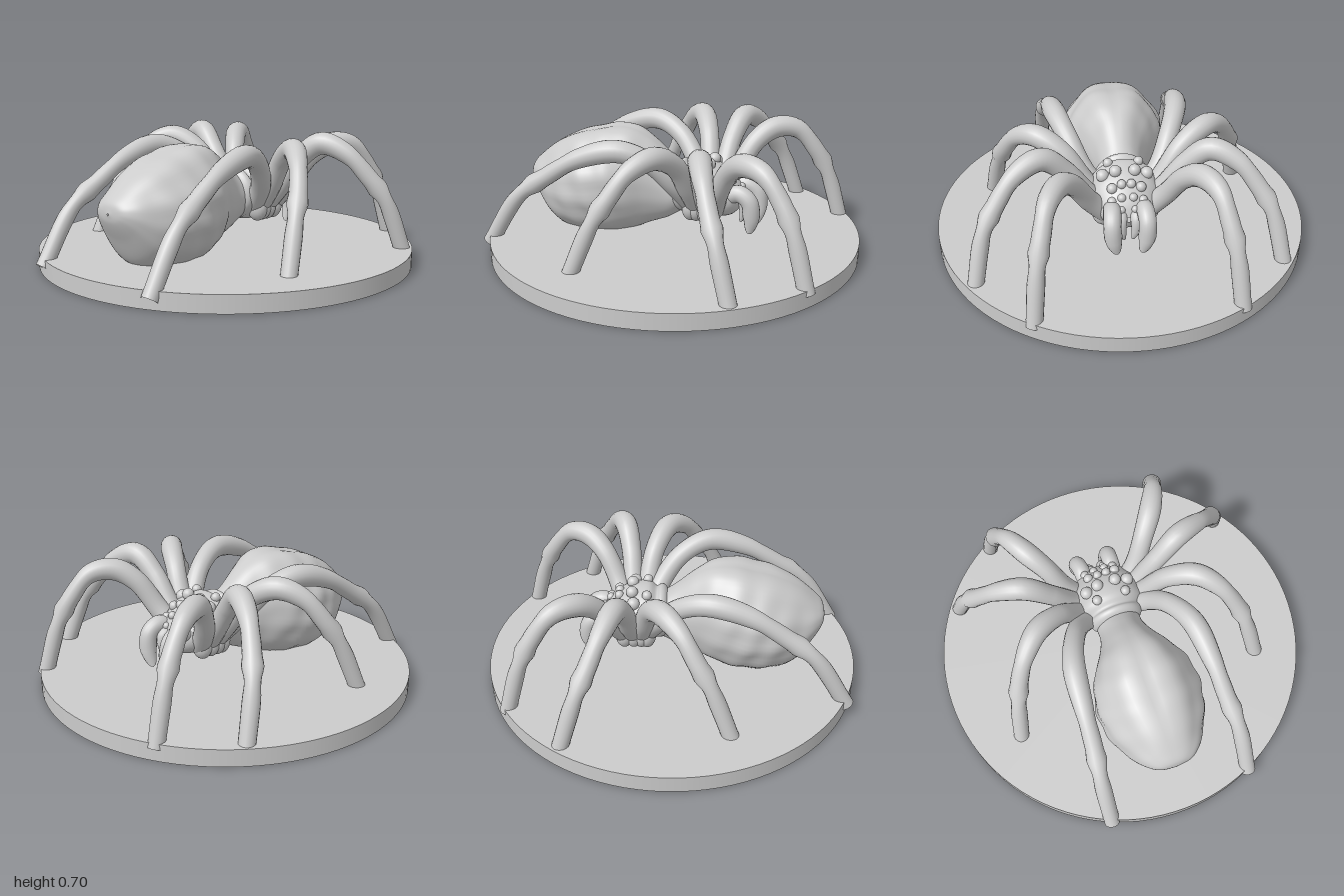
import * as THREE from 'three';

const material = new THREE.MeshStandardMaterial({ color: 0xcccccc, side: THREE.DoubleSide });

function add(group, name, geometry) {
  const mesh = new THREE.Mesh(geometry, material);
  mesh.name = name;
  group.add(mesh);
  return mesh;
}

// Tube along a smooth path; radius(t) gives its thickness from start to end
function taperedTube(points, radius, segments = 60, sides = 18) {
  const curve = new THREE.CatmullRomCurve3(points.map((p) => new THREE.Vector3(...p)));
  const geometry = new THREE.TubeGeometry(curve, segments, 1, sides, false);
  const pos = geometry.attributes.position;
  const v = new THREE.Vector3();
  for (let i = 0; i <= segments; i++) {
    const center = curve.getPointAt(i / segments);
    for (let j = 0; j <= sides; j++) {
      const k = i * (sides + 1) + j;
      v.fromBufferAttribute(pos, k).sub(center).multiplyScalar(radius(i / segments)).add(center);
      pos.setXYZ(k, v.x, v.y, v.z);
    }
  }
  return geometry;
}

// Body along x from stations [x, top, bottom, half width]; relief(x, a) scales each section
function loftBody(stations, relief, rows = 80, sides = 64) {
  const upper = new THREE.CatmullRomCurve3(stations.map((s) => new THREE.Vector3(s[0], s[1], s[3])));
  const lower = new THREE.CatmullRomCurve3(stations.map((s) => new THREE.Vector3(s[0], s[2], s[3])));
  const positions = [];
  const index = [];
  for (let i = 0; i <= rows; i++) {
    const u = upper.getPoint(i / rows);
    const l = lower.getPoint(i / rows);
    const mid = (u.y + l.y) / 2;
    const half = (u.y - l.y) / 2;
    for (let j = 0; j < sides; j++) {
      const a = (j / sides) * Math.PI * 2;
      const r = relief(u.x, a);
      positions.push(u.x, mid + Math.sin(a) * half * r, Math.cos(a) * u.z * r);
      if (i < rows) {
        const p = i * sides + j;
        const q = i * sides + ((j + 1) % sides);
        index.push(p, p + sides, q, q, p + sides, q + sides);
      }
    }
  }
  const geometry = new THREE.BufferGeometry();
  geometry.setAttribute('position', new THREE.Float32BufferAttribute(positions, 3));
  geometry.setIndex(index);
  geometry.computeVertexNormals();
  return geometry;
}

const bump = (x, center, width) => Math.exp(-(((x - center) / width) ** 2));

// Leg paths on the +z side, from hip to foot
const legs = {
  frontLeg: [[0.25, 0.27, 0.1], [0.3, 0.4, 0.2], [0.38, 0.55, 0.28], [0.47, 0.615, 0.35],
    [0.58, 0.6, 0.41], [0.68, 0.48, 0.45], [0.75, 0.34, 0.48], [0.83, 0.06, 0.51]],
  secondLeg: [[0.2, 0.27, 0.1], [0.22, 0.39, 0.2], [0.235, 0.54, 0.31], [0.27, 0.64, 0.43],
    [0.325, 0.59, 0.56], [0.385, 0.47, 0.66], [0.44, 0.35, 0.73], [0.53, 0.06, 0.795]],
  thirdLeg: [[0.16, 0.27, 0.1], [0.14, 0.4, 0.2], [0.1, 0.56, 0.31], [0.03, 0.63, 0.44],
    [-0.06, 0.58, 0.54], [-0.14, 0.46, 0.61], [-0.21, 0.34, 0.65], [-0.32, 0.06, 0.7]],
  hindLeg: [[0.13, 0.28, 0.09], [0.06, 0.42, 0.2], [-0.05, 0.55, 0.27], [-0.2, 0.61, 0.325],
    [-0.4, 0.56, 0.35], [-0.58, 0.45, 0.365], [-0.74, 0.33, 0.385], [-0.92, 0.05, 0.395]],
};

export function createModel() {
  const model = new THREE.Group();
  model.name = 'spiderOnDisc';

  // Round base
  const base = add(model, 'base', new THREE.CylinderGeometry(1, 1, 0.09, 96));
  base.position.y = 0.05;

  // Abdomen with a shallow central groove, side folds and wrinkles
  add(model, 'abdomen', loftBody([
    [-0.82, 0.37, 0.36, 0.005], [-0.805, 0.42, 0.31, 0.09], [-0.76, 0.465, 0.23, 0.15],
    [-0.68, 0.53, 0.1, 0.205], [-0.57, 0.59, 0.05, 0.26], [-0.44, 0.63, 0.04, 0.285],
    [-0.32, 0.655, 0.05, 0.27], [-0.22, 0.645, 0.08, 0.225], [-0.13, 0.6, 0.12, 0.165],
    [-0.03, 0.52, 0.16, 0.125], [0.05, 0.46, 0.21, 0.12], [0.12, 0.43, 0.24, 0.1],
  ], (x, a) => {
    const c = Math.abs(Math.cos(a));
    const s = Math.sin(a);
    const fade = bump(x, -0.42, 0.3);
    const back = s > 0 ? -0.035 * bump(c, 0, 0.12) + 0.035 * bump(c, 0.4, 0.16) - 0.035 * bump(c, 0.72, 0.12) : 0;
    const folds = 0.018 * Math.sin(x * 42 + s * 5) * c;
    return 1 + fade * (back + folds + 0.015 * Math.sin(s * 14 + x * 6) * c);
  }));

  // Thorax and head with a raised collar behind
  add(model, 'thorax', loftBody([
    [0.0, 0.42, 0.25, 0.08], [0.035, 0.49, 0.22, 0.135], [0.06, 0.5, 0.21, 0.15],
    [0.08, 0.485, 0.21, 0.15], [0.12, 0.51, 0.2, 0.175], [0.19, 0.505, 0.2, 0.18],
    [0.26, 0.475, 0.21, 0.17], [0.32, 0.43, 0.22, 0.14], [0.36, 0.385, 0.25, 0.1],
    [0.385, 0.33, 0.3, 0.01],
  ], (x, a) => 1 + 0.02 * Math.sin(x * 60) * Math.abs(Math.cos(a)), 40, 40));

  // Rows of eyes and knobs: [x, y, z, radius]
  const knobs = [
    [0.21, 0.5, 0.05, 0.032], [0.2, 0.47, 0.115, 0.034], [0.13, 0.5, 0.08, 0.026],
    [0.28, 0.465, 0.025, 0.024], [0.285, 0.445, 0.075, 0.027], [0.33, 0.415, 0.03, 0.022],
    [0.33, 0.395, 0.08, 0.024], [0.365, 0.365, 0.035, 0.02],
  ];

  // Radius along a leg, swelling at the knee joints and narrowing to the foot
  const legRadius = (t) => 0.056 - 0.014 * t + 0.009 * bump(t, 0.4, 0.1)
    + 0.008 * bump(t, 0.7, 0.025) - 0.006 * bump(t, 0.76, 0.04) - 0.004 * bump(t, 0.56, 0.04);

  for (const side of [1, -1]) {
    const half = new THREE.Group();
    half.name = side > 0 ? 'rightLimbs' : 'leftLimbs';
    const mirror = ([x, y, z]) => [x, y, z * side];

    for (const [name, path] of Object.entries(legs)) {
      add(half, name, taperedTube(path.map(mirror), legRadius));
      // Hip joint under the thorax
      const hip = add(half, name + 'Hip', new THREE.SphereGeometry(0.062, 20, 14));
      hip.position.set(path[0][0], 0.275, side * 0.115);
      hip.scale.set(0.8, 1.2, 1);
    }

    // Feeler curving down beside the fangs
    add(half, 'feeler', taperedTube(
      [[0.31, 0.34, 0.08], [0.38, 0.365, 0.085], [0.435, 0.33, 0.09], [0.45, 0.24, 0.085], [0.435, 0.14, 0.065]].map(mirror),
      (t) => 0.046 * Math.sqrt(Math.max(0, 1 - t ** 4)) * (1 + 0.1 * bump(t, 0.65, 0.12)), 36, 16));

    // Fang
    add(half, 'fang', taperedTube(
      [[0.33, 0.34, 0.035], [0.385, 0.32, 0.038], [0.395, 0.25, 0.035], [0.375, 0.18, 0.02]].map(mirror),
      (t) => 0.036 * Math.sqrt(1 - t), 24, 14));

    for (const [x, y, z, r] of knobs) {
      const knob = add(half, 'eyeKnob', new THREE.SphereGeometry(r, 16, 12));
      knob.position.set(x, y, z * side);
    }
    model.add(half);
  }
  return model;
}
